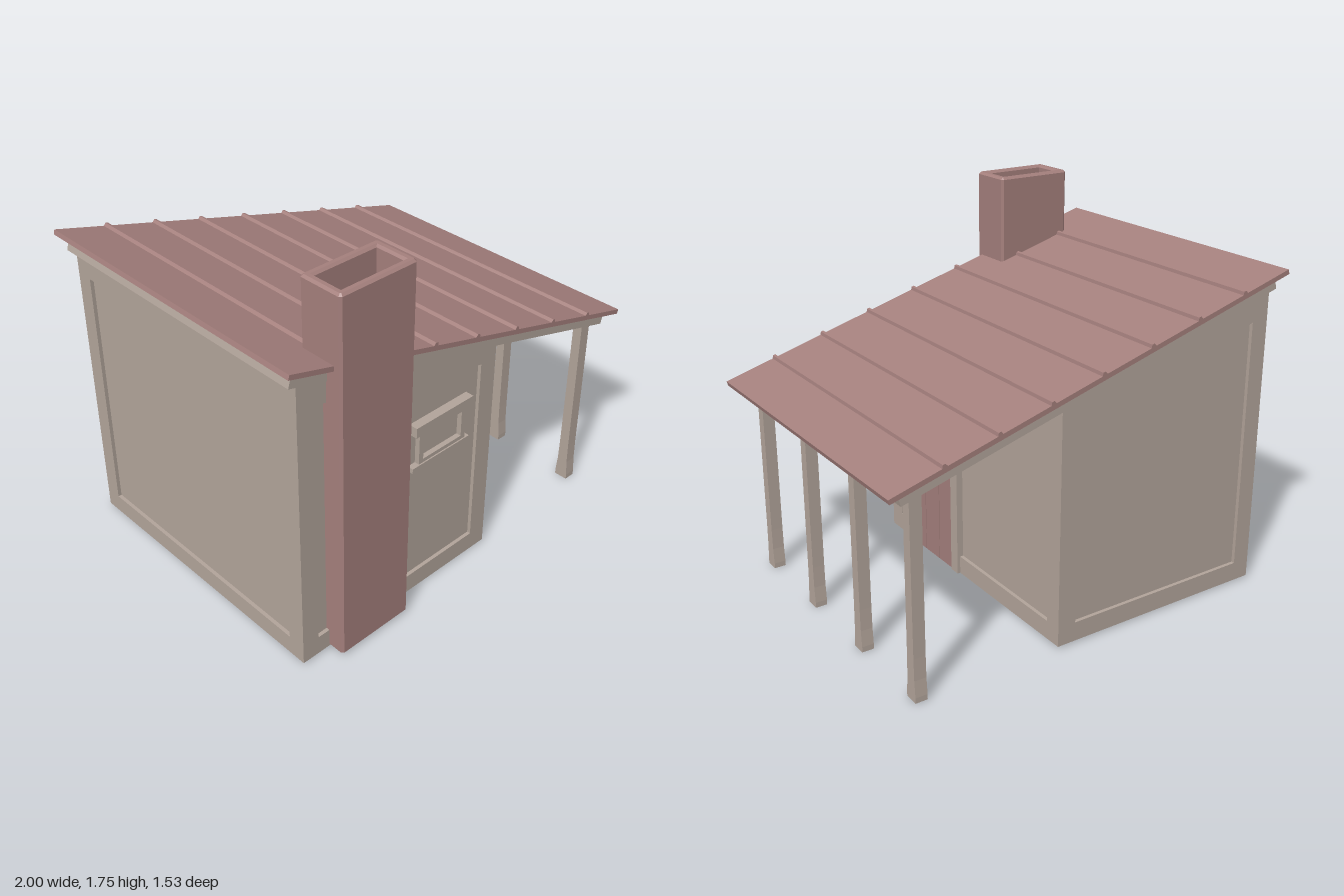
import * as THREE from 'three';

export function createModel() {
  const model = new THREE.Group();
  const wood = new THREE.MeshStandardMaterial({ color: 0xb3a59b });
  wood.name = 'pale wood';
  const red = new THREE.MeshStandardMaterial({ color: 0xa5807d });
  red.name = 'dusty red';

  const add = (name, geometry, material, parent = model) => {
    const mesh = new THREE.Mesh(geometry, material);
    mesh.name = name;
    parent.add(mesh);
    return mesh;
  };
  // Box given by its minimum and maximum on each axis
  const box = (name, material, x0, x1, y0, y1, z0, z1, parent) => {
    const g = new THREE.BoxGeometry(x1 - x0, y1 - y0, z1 - z0);
    g.translate((x0 + x1) / 2, (y0 + y1) / 2, (z0 + z1) / 2);
    return add(name, g, material, parent);
  };
  const poly = (pts) => new THREE.Shape(pts.map(([x, y]) => new THREE.Vector2(x, y)));
  const extrude = (shape, depth) => new THREE.ExtrudeGeometry(shape, { depth, bevelEnabled: false });

  // Walls: a raised frame around a recessed panel, outer face at local z = 0
  const wall = (name, outer, inner, position, turn) => {
    const group = new THREE.Group();
    group.name = name;
    const frame = poly(outer);
    frame.holes.push(poly(inner));
    add(name + 'Frame', extrude(frame, 0.022).translate(0, 0, -0.022), wood, group);
    add(name + 'Panel', extrude(poly(inner), 0.005).translate(0, 0, -0.022), wood, group);
    group.position.set(...position);
    group.rotation.y = turn;
    model.add(group);
  };
  const X0 = -0.93, X1 = 0.18, Z0 = -0.727, Z1 = 0.685, BASE = 0.01;
  const top = (x) => 1.42 - 0.281 * (x + 0.97);
  const rect = (a, b, y0, y1) => [[a, y0], [b, y0], [b, y1], [a, y1]];
  const outer = [[X0, BASE], [X1, BASE], [X1, top(X1)], [X0, top(X0)]];
  const inner = [[-0.845, 0.1], [0.09, 0.1], [0.09, 1.03], [-0.845, 1.278]];
  const flip = (pts) => pts.map(([x, y]) => [-x, y]).reverse();
  wall('frontWall', outer, inner, [0, 0, Z1], 0);
  wall('backWall', flip(outer), flip(inner), [0, 0, Z0], Math.PI);
  wall('porchWall', rect(-Z1, -Z0, BASE, top(X1)), rect(-0.6, 0.645, 0.097, 1.0), [X1, 0, 0], Math.PI / 2);
  wall('tallWall', rect(Z0, Z1, BASE, top(X0)), rect(-0.645, 0.6, 0.1, 1.29), [X0, 0, 0], -Math.PI / 2);

  // Sloping roof, laid out along its own slope
  const roof = new THREE.Group();
  roof.name = 'roof';
  roof.position.set(-0.994, 1.503, 0);
  roof.rotation.z = -THREE.MathUtils.degToRad(15.7);
  model.add(roof);
  box('roofSheet', red, 0, 2.071, -0.022, 0, -0.77, 0.73, roof);
  box('roofBoard', wood, 0.048, 2.016, -0.081, -0.022, -0.73, 0.692, roof);
  for (let i = 0; i < 7; i++) {
    const u = (-0.745 + i * 0.25 + 0.994) / Math.cos(roof.rotation.z);
    const rib = extrude(poly([[-0.013, 0], [0.013, 0], [0.006, 0.014], [-0.006, 0.014]]), 1.5);
    add('roofRib', rib.translate(u, 0, -0.77), red, roof);
  }

  // Porch posts with flared feet
  const half = [[0.033, 0], [0.033, 0.025], [0.027, 0.1], [0.025, 0.2], [0.023, 0.92]];
  const postShape = poly([...half, ...half.map(([x, y]) => [-x, y]).reverse()]);
  for (const z of [0.635, 0.192, -0.25, -0.695]) {
    const post = add('porchPost', extrude(postShape, 0.056).translate(0, 0, -0.028), wood);
    post.rotation.y = Math.PI / 2;
    post.position.set(0.857, 0, z);
  }

  // Chimney: hollow at the top, chamfered along its edges
  const cx = 0.1925, cz = 0.1075, c = 0.01;
  const stack = poly([[-cx + c, -cz], [cx - c, -cz], [cx, -cz + c], [cx, cz - c],
    [cx - c, cz], [-cx + c, cz], [-cx, cz - c], [-cx, -cz + c]]);
  stack.holes.push(poly(rect(-0.155, 0.155, -0.07, 0.07)));
  const stackGeometry = new THREE.ExtrudeGeometry(stack, {
    depth: 1.72, bevelThickness: 0.01, bevelSize: 0.01, bevelOffset: -0.01, bevelSegments: 1,
  });
  stackGeometry.translate(0, 0, 0.02).rotateX(-Math.PI / 2);
  add('chimney', stackGeometry, red).position.set(-0.5925, 0, 0.6575);
  box('chimneyBase', red, -0.76, -0.425, 0.012, 0.05, 0.575, 0.74);

  // Plank door with its frame and ring handle
  const seams = [0.105, 0.222, 0.347, 0.463];
  const lean = [0, 0.012, 0.004, 0];
  for (let i = 0; i < 3; i++) {
    const gap0 = i > 0 ? 0.002 : 0, gap1 = i < 2 ? 0.002 : 0;
    const plank = poly([
      [-seams[i + 1] + gap1 - lean[i + 1] / 2, BASE], [-seams[i] - gap0 - lean[i] / 2, BASE],
      [-seams[i] - gap0 + lean[i] / 2, 0.86], [-seams[i + 1] + gap1 + lean[i + 1] / 2, 0.86]]);
    const mesh = add('doorPlank', extrude(plank, 0.026), red);
    mesh.rotation.y = Math.PI / 2;
    mesh.position.x = 0.16;
  }
  box('doorJamb', wood, 0.15, 0.195, BASE, 0.86, 0.463, 0.52);
  box('doorJamb', wood, 0.15, 0.195, BASE, 0.86, 0.05, 0.105);
  box('doorLintel', wood, 0.15, 0.216, 0.855, 0.92, 0.015, 0.553);
  const handle = add('doorHandle', new THREE.TorusGeometry(0.024, 0.006, 8, 20), wood);
  handle.rotation.y = Math.PI / 2;
  handle.position.set(0.193, 0.395, 0.427);
  const knob = add('doorKnob', new THREE.CylinderGeometry(0.014, 0.014, 0.018, 16), wood);
  knob.rotation.z = Math.PI / 2;
  knob.position.set(0.193, 0.395, 0.427);

  // Small front window
  box('windowLintel', wood, -0.318, 0.022, 0.867, 0.916, 0.66, 0.71);
  box('windowSill', wood, -0.322, 0.022, 0.68, 0.704, 0.66, 0.698);
  const surround = poly(rect(-0.28, 0, 0.704, 0.867));
  surround.holes.push(poly(rect(-0.255, -0.025, 0.722, 0.85)));
  add('windowFrame', extrude(surround, 0.028).translate(0, 0, 0.664), wood);

  return model;
}
